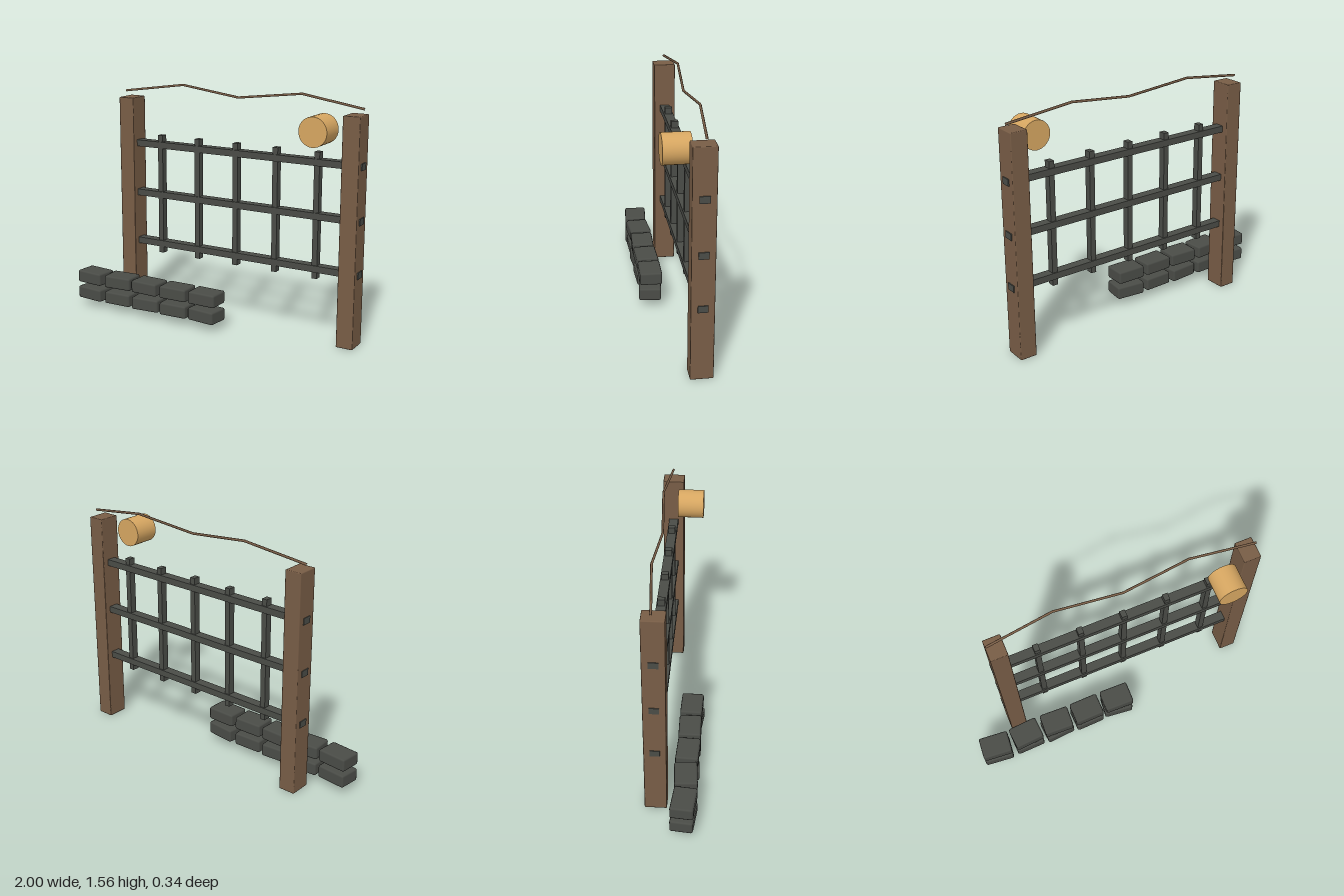
import * as THREE from 'three';
import { RoundedBoxGeometry } from 'three/addons/geometries/RoundedBoxGeometry.js';

const material = (name, color) => {
  const m = new THREE.MeshStandardMaterial({ color });
  m.name = name;
  return m;
};

export function createModel() {
  const model = new THREE.Group();
  model.name = 'gate';
  const wood = material('brown wood', 0x785d46);
  const iron = material('dark iron and stone', 0x4a4c47);
  const paper = material('warm lantern', 0xd6a661);

  const add = (name, geometry, mat, x, y, z, turn = 0) => {
    const mesh = new THREE.Mesh(geometry, mat);
    mesh.name = name;
    mesh.position.set(x, y, z);
    mesh.rotation.y = turn;
    model.add(mesh);
    return mesh;
  };

  // Two posts with softly chamfered edges
  const post = new RoundedBoxGeometry(0.112, 1.46, 0.142, 1, 0.006);
  add('rightPost', post, wood, -0.687, 0.73, -0.1);
  add('leftPost', post, wood, 0.933, 0.73, -0.1);

  // Lattice: horizontal rails run through the posts
  const rail = new THREE.BoxGeometry(1.744, 0.043, 0.062);
  for (const y of [0.472, 0.812, 1.152]) add('rail', rail, iron, 0.124, y, -0.1);
  const bar = new THREE.BoxGeometry(0.036, 0.81, 0.046);
  for (let i = 0; i < 5; i++) add('bar', bar, iron, -0.45 + i * 0.2865, 0.812, -0.1);

  // Round lantern facing the front
  const lantern = new THREE.CylinderGeometry(0.0925, 0.0925, 0.17, 32);
  lantern.rotateX(Math.PI / 2);
  add('lantern', lantern, paper, 0.75, 1.37, 0.028);

  // Zigzag cord above the posts
  const path = new THREE.CurvePath();
  const points = [
    [-0.738, 1.496, -0.108], [-0.298, 1.557, -0.142], [0.124, 1.506, -0.112],
    [0.546, 1.557, -0.142], [0.986, 1.496, -0.108],
  ].map((p) => new THREE.Vector3(...p));
  for (let i = 0; i < 4; i++) path.add(new THREE.LineCurve3(points[i], points[i + 1]));
  add('cord', new THREE.TubeGeometry(path, 4, 0.008, 6), wood, 0, 0, 0);

  // Two courses of slightly turned stones
  const stone = new RoundedBoxGeometry(0.2, 0.086, 0.147, 1, 0.013);
  const courses = [
    { y: 0.097, turns: [-0.1, 0.03, 0.08, 0.03, -0.11] },
    { y: 0.212, turns: [-0.09, 0.07, -0.04, 0.02, -0.02] },
  ];
  for (const { y, turns } of courses) {
    turns.forEach((turn, i) => add('stone', stone, iron, -0.894 + i * 0.2245, y, 0.086, turn));
  }
  return model;
}
